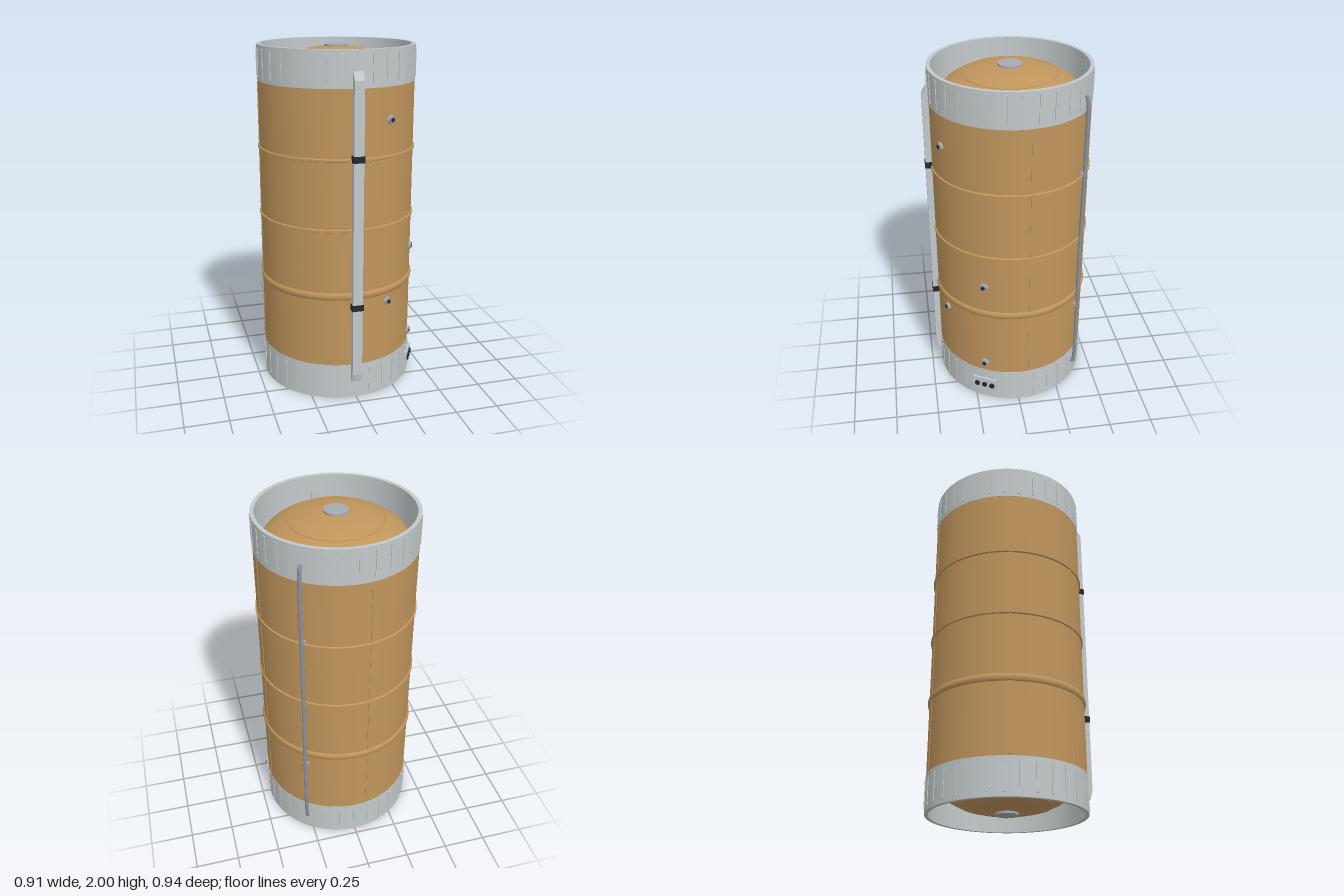
import * as THREE from 'three';
import { toCreasedNormals } from 'three/addons/utils/BufferGeometryUtils.js';

const mat = (name, color) => {
  const m = new THREE.MeshStandardMaterial({ color });
  m.name = name;
  return m;
};

export function createModel() {
  const tan = mat('tan insulation', 0xc0955c);
  const pale = mat('pale grey skirt', 0xc3cacb);
  const grey = mat('grey metal', 0xa7abb0);
  const steel = mat('blue grey steel', 0x8b929c);
  const black = mat('black fitting', 0x24282c);

  const model = new THREE.Group();
  model.name = 'propellantTank';
  const drum = new THREE.Group();
  drum.name = 'drum';
  drum.position.z = -0.012;
  model.add(drum);

  const add = (name, geo, material, parent = drum) => {
    const m = new THREE.Mesh(geo, material);
    m.name = name;
    parent.add(m);
    return m;
  };
  const lathe = (pts, seg = 96) => toCreasedNormals(
    new THREE.LatheGeometry(pts.map(p => new THREE.Vector2(p[0], p[1])), seg), 0.6);
  // Closed tube wall: outer side up, inner side down
  const ring = (ro, ri, y0, y1) => lathe([[ro, y0], [ro, y1], [ri, y1], [ri, y0], [ro, y0]]);
  // Group on the wall whose +z points outward; angle in degrees from the front
  const onWall = (name, deg, r, y) => {
    const g = new THREE.Group(), a = THREE.MathUtils.degToRad(deg);
    g.name = name;
    g.position.set(r * Math.sin(a), y, r * Math.cos(a));
    g.rotation.y = a;
    drum.add(g);
    return g;
  };
  const disc = (r, h, seg = 20, r2 = r) => new THREE.CylinderGeometry(r2, r, h, seg).rotateX(Math.PI / 2);

  // Insulated outer shell and its hoops
  add('outerShell', ring(0.447, 0.43, 0.2, 1.81), tan);
  for (const y of [1.42, 1.025]) {
    add('thinHoop', lathe([[0.446, y - 0.01], [0.455, y - 0.006], [0.455, y + 0.006], [0.446, y + 0.01]]), tan);
  }
  const bulge = [];
  for (let i = 0; i <= 8; i++) {
    const t = (i / 8 - 0.5) * Math.PI;
    bulge.push([0.446 + 0.011 * Math.cos(t), 0.638 + 0.022 * Math.sin(t)]);
  }
  add('thickHoop', lathe(bulge), tan);

  // Vertical seam strips
  for (const deg of [97, 190, 263, 317]) {
    add('seamStrip', new THREE.BoxGeometry(0.02, 1.57, 0.008), tan, onWall('seam', deg, 0.446, 1.005));
  }

  // Inner tank with elliptical domes at both ends
  const R = 0.413, H = 0.2, profile = [];
  for (let i = 0; i <= 20; i++) {
    const t = (i / 20) * Math.PI / 2;
    profile.push([R * Math.sin(t), 0.215 - H * Math.cos(t)]);
  }
  profile.push(...profile.map(([r, y]) => [r, 2 - y]).reverse());
  add('innerTank', lathe(profile), tan);
  const seamY = H * Math.sqrt(1 - (0.257 / R) ** 2);
  for (const s of [-1, 1]) {
    const name = s > 0 ? 'top' : 'bottom';
    add(name + 'DomeSeam', new THREE.TorusGeometry(0.257, 0.003, 6, 72).rotateX(Math.PI / 2), tan)
      .position.y = 1 + s * (0.785 + seamY);
    add(name + 'DomeCap', new THREE.CylinderGeometry(0.067, 0.067, 0.022, 32), grey)
      .position.y = 1 + s * 0.983;
  }

  // End skirts with stiffening ribs
  for (const [name, y0, y1] of [['topSkirt', 1.8, 2], ['bottomSkirt', 0, 0.21]]) {
    add(name, ring(0.449, 0.427, y0, y1), pale);
    const mid = name === 'topSkirt' ? 1.902 : 0.105;
    for (let i = 0; i < 32; i++) {
      add('skirtRib', new THREE.BoxGeometry(0.016, 0.16, 0.008), pale, onWall('rib', i * 11.25, 0.449, mid));
    }
    // Pass-through plate on the inner wall behind the conduit
    add('innerPlate', new THREE.BoxGeometry(0.06, 0.07, 0.006), pale, onWall('passThrough', 0, 0.425, mid - 0.03));
  }

  // Front cable conduit with sloped ends
  const side = new THREE.Shape([[0.44, 0.11], [0.47, 0.11], [0.482, 0.16], [0.482, 1.845], [0.455, 1.89], [0.44, 1.89]]
    .map(p => new THREE.Vector2(p[0], p[1])));
  const conduit = new THREE.ExtrudeGeometry(side, { depth: 0.056, bevelEnabled: false });
  conduit.rotateY(-Math.PI / 2).translate(0.025, 0, 0);
  add('cableConduit', conduit, pale);
  for (const y of [0.577, 1.43]) {
    add('conduitClamp', new THREE.BoxGeometry(0.066, 0.036, 0.042), black).position.set(-0.003, y, 0.464);
  }

  // Rear pipe, turned into the wall at both ends
  const pipe = onWall('rearPipe', 142, 0, 0);
  const path = new THREE.CatmullRomCurve3(
    [[0.44, 0.105], [0.458, 0.112], [0.464, 0.14], [0.464, 1], [0.464, 1.86], [0.458, 1.888], [0.44, 1.895]]
      .map(([z, y]) => new THREE.Vector3(0, y, z)), false, 'centripetal');
  add('pipe', new THREE.TubeGeometry(path, 80, 0.011, 10), steel, pipe);
  for (const y of [0.56, 1.445]) {
    add('pipeBracket', new THREE.BoxGeometry(0.034, 0.016, 0.022), grey, pipe).position.set(0, y, 0.456);
  }

  // Round service ports
  for (const [deg, y] of [[26, 1.622], [26, 0.568], [62, 0.825], [62, 0.27]]) {
    const port = onWall('servicePort', deg, 0.447, y);
    add('portFlange', disc(0.026, 0.012, 24, 0.022), grey, port).position.z = 0.004;
    add('portCollar', disc(0.017, 0.012), steel, port).position.z = 0.01;
    add('portPlug', disc(0.012, 0.01), black, port).position.z = 0.013;
  }

  // Connector panel on the bottom skirt
  const panel = onWall('connectorPanel', 62, 0.449, 0.105);
  add('panelPlate', new THREE.BoxGeometry(0.15, 0.085, 0.024), pale, panel);
  for (const x of [-0.047, 0, 0.047]) {
    add('connector', disc(0.016, 0.014), black, panel).position.set(x, 0, 0.014);
  }
  return model;
}
